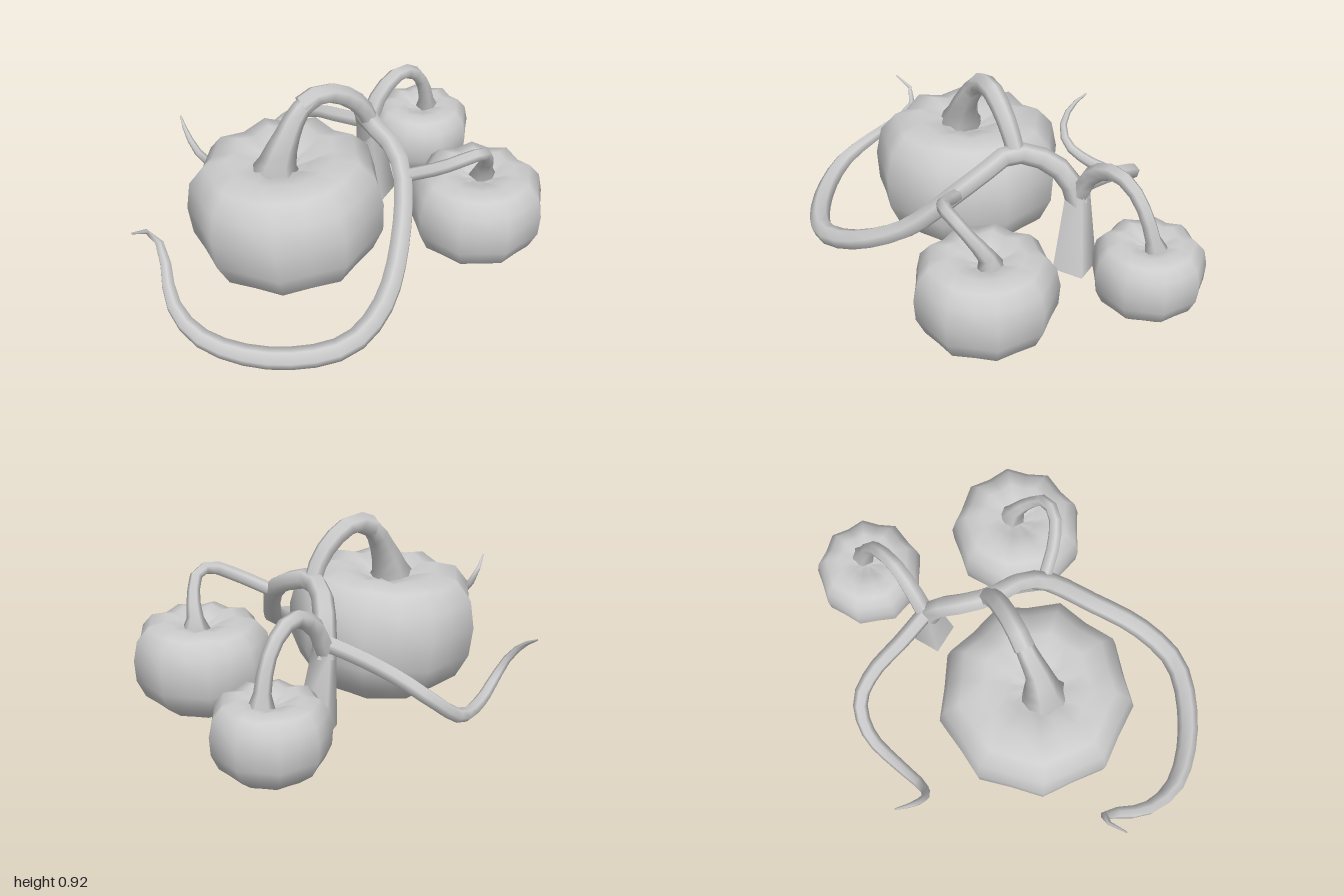
import * as THREE from 'three';
import { mergeVertices } from 'three/addons/utils/BufferGeometryUtils.js';

const clay = new THREE.MeshStandardMaterial({ color: 0xcccccc, side: THREE.DoubleSide });
clay.name = 'greyClay';

function addMesh(parent, name, geometry) {
  const mesh = new THREE.Mesh(geometry, clay);
  mesh.name = name;
  parent.add(mesh);
  return mesh;
}

// Low-poly tube through points [x, y, z, radius]
function taperedTube(points, segments, sides = 6) {
  const curve = new THREE.CatmullRomCurve3(points.map(p => new THREE.Vector3(p[0], p[1], p[2])));
  const geometry = new THREE.TubeGeometry(curve, segments, 1, sides);
  const pos = geometry.attributes.position;
  const v = new THREE.Vector3();
  for (let i = 0; i <= segments; i++) {
    const u = i / segments;
    const centre = curve.getPointAt(u);
    const t = curve.getUtoTmapping(u) * (points.length - 1);
    const k = Math.min(Math.floor(t), points.length - 2);
    const radius = THREE.MathUtils.lerp(points[k][3], points[k + 1][3], t - k);
    for (let j = 0; j <= sides; j++) {
      const n = i * (sides + 1) + j;
      v.fromBufferAttribute(pos, n).sub(centre).multiplyScalar(radius).add(centre);
      pos.setXYZ(n, v.x, v.y, v.z);
    }
  }
  return geometry;
}

// Relative profile: radius, height
const profile = [[0, 0.06], [0.3, 0.03], [0.6, 0], [0.86, 0.16], [0.98, 0.36], [1, 0.6],
  [0.94, 0.82], [0.78, 0.96], [0.54, 1], [0.3, 0.95], [0.14, 0.88], [0, 0.88]];

// Nine-lobed body: every second column of the lathe is pulled in as a groove
function pumpkinBody(radius, height, turn) {
  const points = profile.map(([r, y]) => new THREE.Vector2(r * radius, y * height));
  const geometry = new THREE.LatheGeometry(points, 18, turn);
  const pos = geometry.attributes.position;
  for (let i = 0; i < pos.count; i++) {
    const row = i % profile.length;
    const column = Math.floor(i / profile.length);
    if (column % 2 === 0) continue;
    const drop = row > 5 && row < 10 ? 0.04 * height : 0;
    pos.setXYZ(i, pos.getX(i) * 0.93, pos.getY(i) - drop, pos.getZ(i) * 0.93);
  }
  geometry.deleteAttribute('normal');
  geometry.deleteAttribute('uv');
  const merged = mergeVertices(geometry, 1e-4);
  merged.computeVertexNormals();
  return merged;
}

export function createModel() {
  const model = new THREE.Group();
  model.name = 'pumpkinPatch';

  // Pumpkins
  const large = addMesh(model, 'largePumpkin', pumpkinBody(0.47, 0.61, 0));
  large.position.set(-0.28, 0.02, 0.17);
  large.rotation.z = 0.06;
  const medium = addMesh(model, 'mediumPumpkin', pumpkinBody(0.333, 0.435, -Math.PI / 12));
  medium.position.set(0.605, 0.02, -0.005);
  const small = addMesh(model, 'smallPumpkin', pumpkinBody(0.268, 0.355, -Math.PI / 12));
  small.position.set(0.327, 0.02, -0.735);

  // Large pumpkin stem and the thicker branch that sleeves over it
  addMesh(model, 'largeStem', taperedTube([
    [-0.34, 0.54, 0.21, 0.13], [-0.33, 0.61, 0.2, 0.085], [-0.29, 0.72, 0.17, 0.06],
    [-0.24, 0.82, 0.12, 0.047], [-0.18, 0.87, 0.08, 0.042]], 6));
  addMesh(model, 'largeBranch', taperedTube([
    [-0.225, 0.845, 0.105, 0.052], [-0.14, 0.882, 0.05, 0.05], [-0.03, 0.83, -0.02, 0.048],
    [0.045, 0.74, -0.07, 0.045], [0.08, 0.65, -0.1, 0.042]], 6));

  // Medium pumpkin stem
  addMesh(model, 'mediumStem', taperedTube([
    [0.63, 0.39, -0.03, 0.075], [0.632, 0.45, -0.02, 0.042], [0.637, 0.55, 0.05, 0.03],
    [0.61, 0.635, 0.13, 0.03], [0.54, 0.64, 0.18, 0.032], [0.42, 0.59, 0.19, 0.033],
    [0.26, 0.52, 0.16, 0.033]], 10));

  // Small pumpkin stem, arching back to the trunk
  addMesh(model, 'smallStem', taperedTube([
    [0.365, 0.32, -0.765, 0.065], [0.36, 0.37, -0.75, 0.04], [0.33, 0.52, -0.7, 0.034],
    [0.27, 0.62, -0.63, 0.036], [0.2, 0.645, -0.55, 0.04], [0.11, 0.57, -0.46, 0.045],
    [0.055, 0.42, -0.4, 0.048]], 10));

  // Four-sided trunk, open underneath
  const trunk = new THREE.CylinderGeometry(0.062, 0.112, 0.4, 4, 1, true);
  trunk.rotateY(0.35);
  const trunkPos = trunk.attributes.position;
  for (let i = 0; i < trunkPos.count; i++) {
    if (trunkPos.getY(i) > 0) trunkPos.setX(i, trunkPos.getX(i) - 0.04);
  }
  trunk.computeVertexNormals();
  addMesh(model, 'trunk', trunk).position.set(0.1, 0.23, -0.395);

  // Main vine over the trunk and round the front to a curled tip
  addMesh(model, 'frontVine', taperedTube([
    [0.06, 0.38, -0.395, 0.058], [0.05, 0.52, -0.34, 0.054], [0.05, 0.62, -0.2, 0.052],
    [0.09, 0.65, -0.07, 0.05], [0.18, 0.61, 0.03, 0.048], [0.24, 0.53, 0.15, 0.048],
    [0.24, 0.31, 0.4, 0.05], [0.17, 0.17, 0.68, 0.052], [0.02, 0.105, 0.87, 0.052],
    [-0.3, 0.09, 0.945, 0.05], [-0.6, 0.135, 0.89, 0.044], [-0.75, 0.205, 0.75, 0.035],
    [-0.815, 0.33, 0.57, 0.025], [-0.86, 0.42, 0.53, 0.015], [-0.925, 0.5, 0.635, 0.004]], 30));

  // Back vine, dipping and rising to a curled tip
  addMesh(model, 'backVine', taperedTube([
    [0.06, 0.46, -0.385, 0.042], [-0.1, 0.42, -0.5, 0.04], [-0.25, 0.37, -0.62, 0.038],
    [-0.38, 0.29, -0.675, 0.036], [-0.52, 0.18, -0.62, 0.034], [-0.65, 0.16, -0.46, 0.03],
    [-0.75, 0.21, -0.33, 0.025], [-0.81, 0.29, -0.3, 0.02], [-0.87, 0.38, -0.34, 0.014],
    [-0.915, 0.44, -0.42, 0.004]], 20));

  return model;
}
